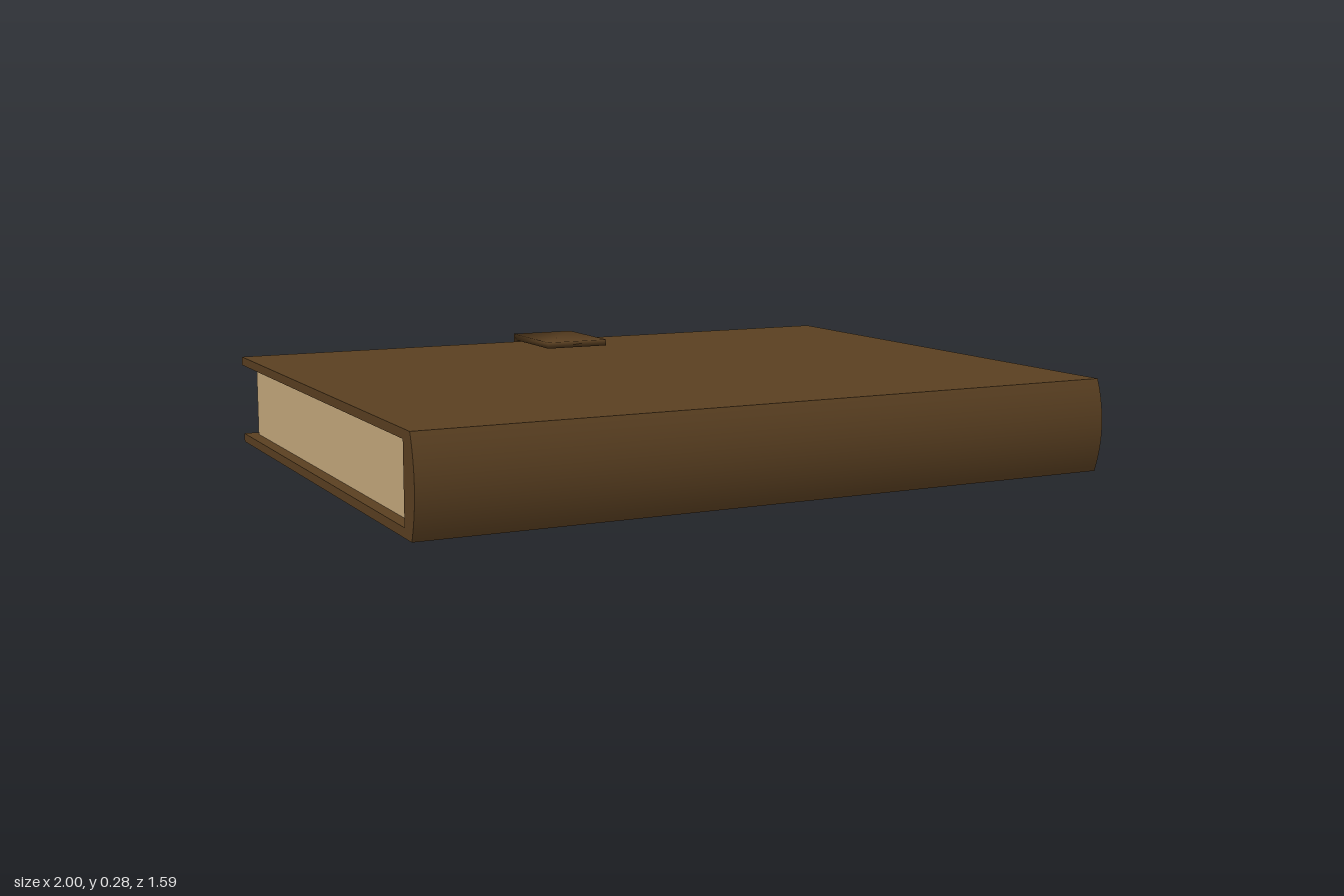
import * as THREE from 'three';
import { mergeVertices, toCreasedNormals } from 'three/addons/utils/BufferGeometryUtils.js';

const leather = new THREE.MeshStandardMaterial({ color: 0x5c4122 });
leather.name = 'brown leather';
const paper = new THREE.MeshStandardMaterial({ color: 0xcbae80 });
paper.name = 'aged paper';

const HEIGHT = 0.26, BOARD = 0.025, EDGE = 0.77, HINGE = 0.72;

// Extrudes a (z, y) profile along x, centred on x = 0
function extrudeAlongX(points, width) {
  const shape = new THREE.Shape(points.map(([z, y]) => new THREE.Vector2(z, y)));
  const geo = new THREE.ExtrudeGeometry(shape, { depth: width, bevelEnabled: false });
  return geo.translate(0, 0, -width / 2).rotateY(-Math.PI / 2);
}

export function createModel() {
  const book = new THREE.Group();
  book.name = 'book';

  function add(name, geometry, material) {
    const mesh = new THREE.Mesh(geometry, material);
    mesh.name = name;
    book.add(mesh);
    return mesh;
  }

  // Two flat boards, running from the fore edge to the hinge
  for (const [name, y] of [['bottomCover', BOARD / 2], ['topCover', HEIGHT - BOARD / 2]]) {
    const cover = add(name, new THREE.BoxGeometry(2, BOARD, EDGE + HINGE), leather);
    cover.position.set(0, y, (HINGE - EDGE) / 2);
  }

  // Spine with a shallow rounded outer face
  const profile = [[HINGE, 0]];
  const steps = 16;
  for (let i = 0; i <= steps; i++) {
    const t = i / steps;
    profile.push([EDGE + 0.025 * (1 - (2 * t - 1) ** 2), HEIGHT * t]);
  }
  profile.push([HINGE, HEIGHT]);
  add('spine', toCreasedNormals(extrudeAlongX(profile, 2), 0.6), leather);

  // Page block, set in from the cover edges
  const pages = add('pages', new THREE.BoxGeometry(1.93, HEIGHT - 2 * BOARD, 1.455), paper);
  pages.position.set(0, HEIGHT / 2, -0.0075);

  // L-shaped clasp over the fore edge, with softly shaded corners
  let clasp = extrudeAlongX([
    [-0.795, 0], [-EDGE, 0], [-EDGE, 0.264], [-0.515, 0.264], [-0.515, 0.283], [-0.795, 0.283],
  ], 0.2);
  clasp.deleteAttribute('normal');
  clasp.deleteAttribute('uv');
  clasp.clearGroups();
  clasp = mergeVertices(clasp);
  clasp.computeVertexNormals();
  add('clasp', clasp, leather);

  return book;
}
